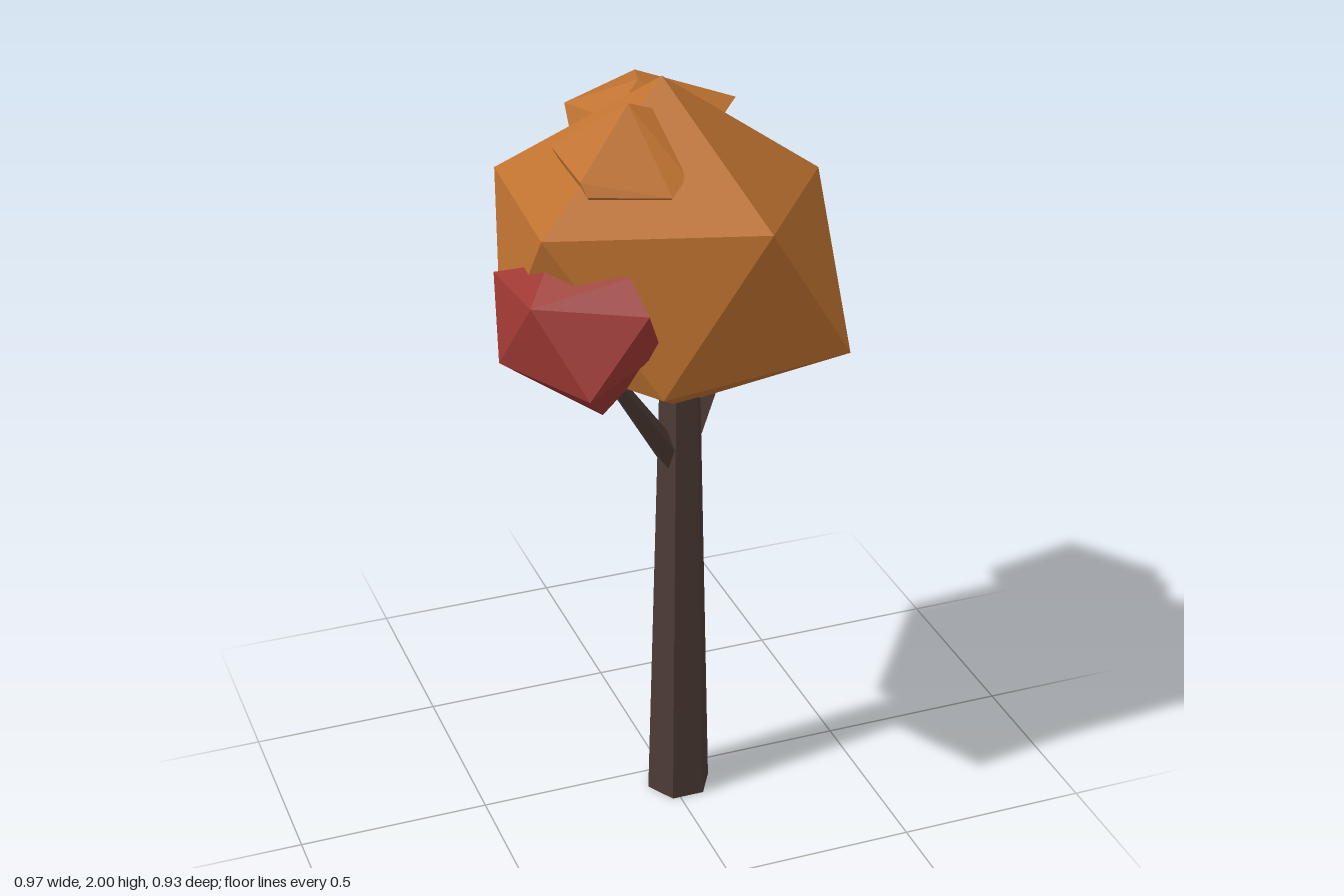
import * as THREE from 'three';
import { ConvexGeometry } from 'three/addons/geometries/ConvexGeometry.js';

const flat = (name, color) => {
  const m = new THREE.MeshStandardMaterial({ color, flatShading: true });
  m.name = name;
  return m;
};

export function createModel() {
  const tree = new THREE.Group();
  tree.name = 'autumnTree';
  const bark = flat('darkBark', 0x4d3b35);
  const orange = flat('orangeLeaves', 0xbf7230);
  const red = flat('redLeaves', 0x9e3833);

  const add = (name, geometry, material) => {
    const mesh = new THREE.Mesh(geometry, material);
    mesh.name = name;
    tree.add(mesh);
    return mesh;
  };

  // Faceted leaf clump: hull of a few irregular corner points
  const clump = (name, material, corners) =>
    add(name, new ConvexGeometry(corners.map((c) => new THREE.Vector3(...c))), material);

  // Tapered six-sided limb between two points
  const limb = (name, from, to, r0, r1, sides) => {
    const a = new THREE.Vector3(...from);
    const b = new THREE.Vector3(...to);
    const dir = b.clone().sub(a);
    const geometry = new THREE.CylinderGeometry(r1, r0, dir.length(), sides);
    geometry.rotateY(Math.PI / 6);
    const mesh = add(name, geometry, bark);
    mesh.position.copy(a).add(b).multiplyScalar(0.5);
    mesh.quaternion.setFromUnitVectors(new THREE.Vector3(0, 1, 0), dir.normalize());
  };

  // Trunk and the two branches
  limb('trunk', [0.022, 0, 0.072], [0.022, 1.22, 0.072], 0.086, 0.054, 6);
  limb('leftBranch', [0.04, 1.0, 0.055], [0.23, 1.28, -0.08], 0.035, 0.02, 5);
  limb('rightBranch', [0.0, 1.0, 0.08], [-0.18, 1.28, 0.16], 0.035, 0.02, 5);

  // Main crown: a slightly irregular icosahedron
  clump('mainCrown', orange, [
    [-0.01, 2.0, 0.03],
    [0.4, 1.71, 0.03], [0.12, 1.73, 0.42], [-0.4, 1.74, 0.29],
    [-0.36, 1.73, -0.2], [0.12, 1.73, -0.36],
    [0.38, 1.33, 0.3], [-0.15, 1.35, 0.42], [-0.425, 1.36, 0.03],
    [-0.13, 1.35, -0.36], [0.33, 1.34, -0.24],
    [0.03, 1.12, 0.03],
  ]);

  // Small clump breaking through the top of the crown
  clump('topClump', orange, [
    [-0.12, 1.97, 0.1], [-0.06, 1.95, 0.1], [-0.1, 1.95, 0.05],
    [-0.28, 1.84, 0.22], [-0.28, 1.85, 0.0], [-0.24, 1.87, -0.03],
    [-0.03, 1.83, 0.25], [-0.08, 1.8, 0.29], [-0.27, 1.81, 0.24],
    [-0.15, 1.6, 0.12],
  ]);

  // Orange clump on the upper back
  clump('backClump', orange, [
    [0.02, 1.9, -0.22], [0.1, 1.83, -0.465], [0.28, 1.82, -0.22],
    [-0.135, 1.82, -0.33], [-0.04, 1.62, -0.43], [0.22, 1.62, -0.36],
    [0.18, 1.8, -0.1], [-0.08, 1.84, -0.13], [-0.15, 1.7, -0.19],
    [0.05, 1.55, -0.24],
  ]);

  // Red clump on the left side
  clump('leftRedClump', red, [
    [0.27, 1.68, -0.19],
    [0.485, 1.56, -0.18], [0.35, 1.57, -0.42], [0.39, 1.52, 0.04],
    [0.16, 1.57, -0.32], [0.14, 1.55, -0.06],
    [0.455, 1.37, -0.31], [0.47, 1.37, -0.03], [0.2, 1.37, -0.405],
    [0.28, 1.37, 0.02], [0.1, 1.38, -0.19],
    [0.32, 1.26, -0.17],
  ]);

  // Red clump on the front right
  clump('rightRedClump', red, [
    [-0.37, 1.66, 0.24], [-0.21, 1.65, 0.36],
    [-0.445, 1.6, 0.34], [-0.45, 1.58, 0.07], [-0.19, 1.58, 0.435],
    [-0.485, 1.41, 0.21], [-0.345, 1.4, 0.46], [-0.14, 1.46, 0.38],
    [-0.4, 1.42, 0.05], [-0.2, 1.5, 0.1],
    [-0.26, 1.275, 0.3],
  ]);

  return tree;
}
